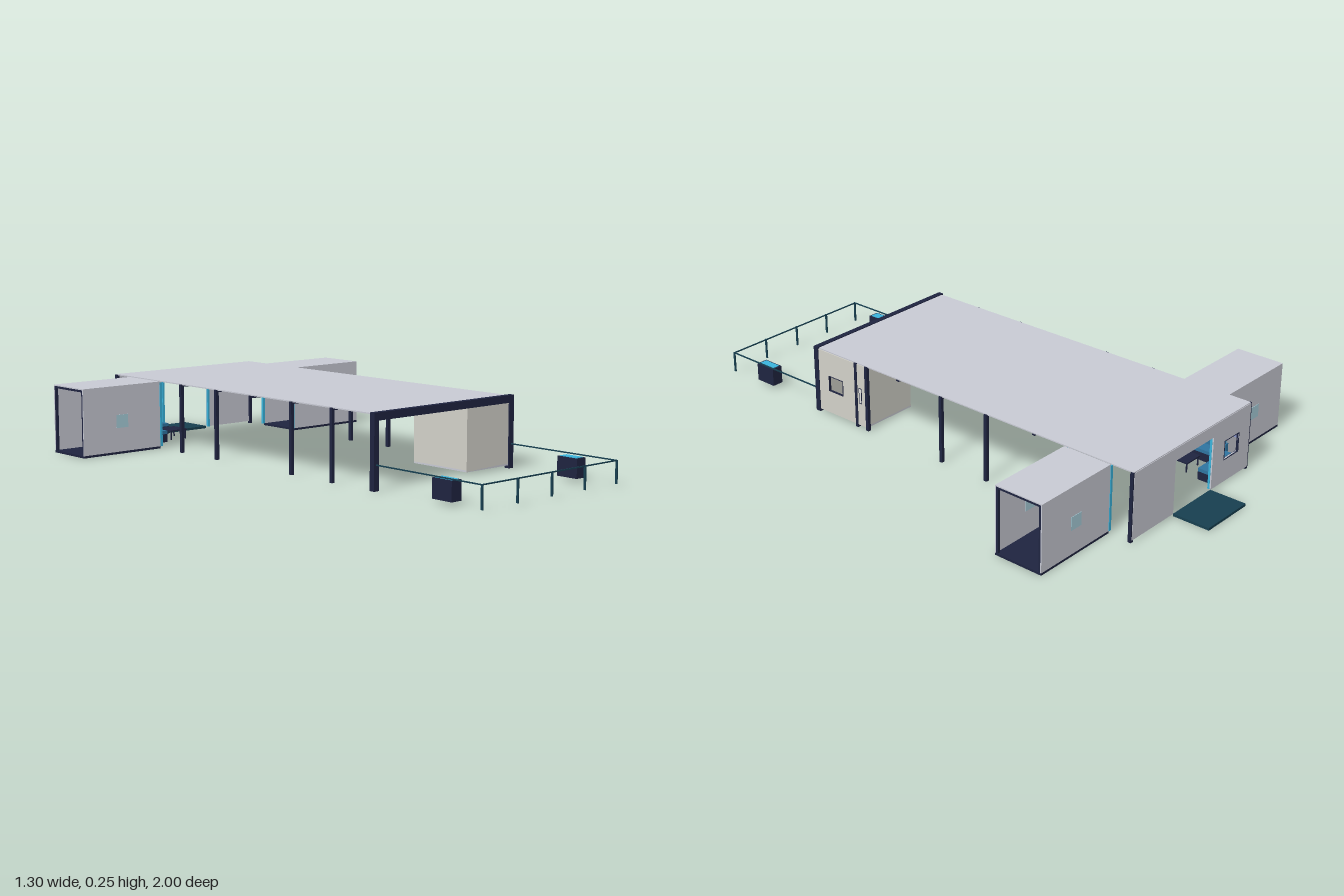
import * as THREE from 'three';

const mat = (color) => new THREE.MeshStandardMaterial({ color, side: THREE.DoubleSide });

export function createModel() {
  const root = new THREE.Group();
  const M = {
    wall: mat(0xc8cad4), navy: mat(0x1f2440), beige: mat(0xd2d1c9), cyan: mat(0x3ab4dc),
    glass: mat(0xa8cfdb), teal: mat(0x173f50), blue: mat(0x2f74a0), black: mat(0x1a1618),
    lilac: mat(0x8f9cd0), pale: mat(0xe4e4e0),
  };

  const add = (name, geo, m, parent = root) => {
    const mesh = new THREE.Mesh(geo, m);
    mesh.name = name;
    parent.add(mesh);
    return mesh;
  };
  // Box given by its minimum and maximum along each axis
  const box = (name, m, x0, x1, y0, y1, z0, z1, parent = root) => {
    const mesh = add(name, new THREE.BoxGeometry(Math.abs(x1 - x0), y1 - y0, z1 - z0), m, parent);
    mesh.position.set((x0 + x1) / 2, (y0 + y1) / 2, (z0 + z1) / 2);
    return mesh;
  };
  const rect = (Type, x0, x1, y0, y1) => new Type([[x0, y0], [x1, y0], [x1, y1], [x0, y1]]
    .map(([x, y]) => new THREE.Vector2(x, y)));
  // Rectangular panel with rectangular holes, in the XY plane
  const panel = (outer, holes, depth) => {
    const s = rect(THREE.Shape, ...outer);
    holes.forEach((h) => s.holes.push(rect(THREE.Path, ...h)));
    return new THREE.ExtrudeGeometry(s, { depth, bevelEnabled: false });
  };
  // Hollow frame around an opening
  const frame = (name, m, [x0, x1, y0, y1], t, depth, parent = root) =>
    add(name, panel([x0 - t, x1 + t, y0 - t, y1 + t], [[x0, x1, y0, y1]], depth), m, parent);

  // Main roof with beams and downlights beneath it
  box('roof', M.wall, -0.32, 0.32, 0.244, 0.248, -0.86, 0.54);
  for (const z of [0.34, 0.14, -0.06, -0.26, -0.46]) {
    box('roofBeam', M.navy, -0.32, 0.32, 0.238, 0.2445, z - 0.006, z + 0.006);
  }
  for (const z of [0.24, 0.04, -0.16, -0.36]) {
    const light = add('downlight', new THREE.CylinderGeometry(0.014, 0.014, 0.004, 20), M.navy);
    light.position.set(0, 0.242, z);
  }

  // Front portal
  for (const s of [-1, 1]) box('portalPost', M.navy, s * 0.305, s * 0.326, 0, 0.25, 0.525, 0.545);
  box('portalHeader', M.navy, -0.326, 0.326, 0.225, 0.251, 0.525, 0.545);

  // Slim side posts, staggered between the two sides
  const posts = { '-1': [0.34, 0.14, -0.26, -0.46, -0.855], 1: [0.34, 0.29, -0.06, -0.26, -0.855] };
  for (const s of [-1, 1]) {
    for (const z of posts[s]) {
      box('sidePost', M.navy, s * 0.313, s * 0.325, 0, 0.246, z - 0.006, z + 0.006);
    }
  }

  // Rear wall with doorway and window
  const back = new THREE.Shape([[-0.32, 0.008], [-0.108, 0.008], [-0.108, 0.2], [0.102, 0.2],
    [0.102, 0.008], [0.32, 0.008], [0.32, 0.245], [-0.32, 0.245]].map(([x, y]) => new THREE.Vector2(x, y)));
  const win = [-0.255, -0.175, 0.093, 0.16];
  back.holes.push(rect(THREE.Path, ...win));
  add('rearWall', new THREE.ExtrudeGeometry(back, { depth: 0.006, bevelEnabled: false }), M.wall)
    .position.z = -0.862;
  frame('rearWindowFrame', M.navy, win, 0.002, 0.009).position.z = -0.8635;
  box('doorHeadTrim', M.cyan, -0.116, 0.11, 0.199, 0.206, -0.857, -0.849);
  for (const [a, b] of [[-0.116, -0.107], [0.101, 0.11]]) {
    box('doorSideTrim', M.cyan, a, b, 0.008, 0.2, -0.857, -0.849);
  }
  box('doorShutterBox', M.black, -0.125, 0.125, 0.206, 0.227, -0.857, -0.835);
  box('rearPlatform', M.teal, -0.105, 0.102, 0, 0.009, -1, -0.862);

  // Side wings, open at the outer end
  for (const s of [-1, 1]) {
    const wing = new THREE.Group();
    wing.name = s < 0 ? 'rightWing' : 'leftWing';
    root.add(wing);
    const a = s * 0.322, b = s * 0.652;
    box('wingFloor', M.navy, a, b, 0, 0.008, -0.772, -0.588, wing);
    box('wingRoof', M.wall, a, b, 0.241, 0.245, -0.772, -0.588, wing);
    for (const [z, out] of [[-0.59, 1], [-0.77, -1]]) {
      box('wingWall', M.wall, a, b, 0.008, 0.242, z - 0.002, z + 0.002, wing);
      box('wingWindow', M.glass, s * 0.463, s * 0.513, 0.094, 0.141, z - 0.0035, z + 0.0035, wing);
      box('wingEndPost', M.navy, s * 0.642, s * 0.651, 0.008, 0.241,
        z - (out > 0 ? 0.01 : -0.002), z + (out > 0 ? -0.002 : 0.01), wing);
      box('junctionTrim', M.cyan, s * 0.312, s * 0.322, 0.008, 0.241, z - 0.004, z + 0.004, wing);
    }
    box('wingEndHeader', M.navy, s * 0.642, s * 0.651, 0.233, 0.241, -0.768, -0.592, wing);
  }

  // Beige corner room with a window and a slit in its outer side
  const room = new THREE.Group();
  room.name = 'cornerRoom';
  root.add(room);
  box('roomFloor', M.wall, 0.102, 0.318, 0.01, 0.016, 0.292, 0.54, room);
  box('roomFrontWall', M.beige, 0.102, 0.318, 0.01, 0.244, 0.534, 0.54, room);
  box('roomBackWall', M.beige, 0.102, 0.318, 0.01, 0.244, 0.292, 0.298, room);
  box('roomInnerWall', M.beige, 0.102, 0.108, 0.01, 0.244, 0.292, 0.54, room);
  const side = new THREE.Group();
  side.name = 'roomOuterSide';
  side.rotation.y = -Math.PI / 2;
  side.position.x = 0.323;
  room.add(side);
  const opening = [0.407, 0.474, 0.098, 0.153], slit = [0.315, 0.324, 0.098, 0.153];
  add('roomOuterWall', panel([0.292, 0.54, 0.01, 0.244], [opening], 0.005), M.beige, side);
  frame('roomWindowFrame', M.navy, opening, 0.002, 0.009, side).position.z = -0.002;
  frame('slitFrame', M.navy, slit, 0.002, 0.004, side).position.z = -0.002;
  box('slitPane', M.pale, 0.324, 0.3245, 0.098, 0.153, 0.315, 0.324, room);

  // Terrace railing
  const r = 0.002;
  box('frontRail', M.teal, -0.317, 0.317, 0.082, 0.086, 0.993, 0.997);
  for (const s of [-1, 1]) {
    box('sideRail', M.teal, s * 0.315 - r, s * 0.315 + r, 0.082, 0.086, 0.54, 0.997);
  }
  for (let i = -2; i <= 2; i++) {
    const x = i * 0.1575;
    box('railPost', M.teal, x - r, x + r, 0.008, 0.086, 0.992, 1);
  }

  // Terrace planters
  for (const s of [-1, 1]) {
    box('planterBody', M.navy, s * 0.27, s * 0.313, 0.012, 0.078, 0.787, 0.87);
    box('planterTop', M.cyan, s * 0.276, s * 0.307, 0.077, 0.08, 0.794, 0.863);
  }

  // Corner sofa: base, cushions and backrests, with a low table and lamp
  const sofa = new THREE.Group();
  sofa.name = 'cornerSofa';
  root.add(sofa);
  box('rearBase', M.navy, -0.31, -0.135, 0.01, 0.04, -0.85, -0.79, sofa);
  box('sideBase', M.navy, -0.31, -0.25, 0.01, 0.04, -0.79, -0.64, sofa);
  box('rearCushion', M.blue, -0.295, -0.135, 0.04, 0.052, -0.838, -0.79, sofa);
  box('sideCushion', M.blue, -0.295, -0.25, 0.04, 0.052, -0.79, -0.64, sofa);
  box('rearBackrest', M.blue, -0.31, -0.135, 0.04, 0.075, -0.852, -0.838, sofa);
  box('sideBackrest', M.blue, -0.31, -0.295, 0.04, 0.075, -0.79, -0.64, sofa);
  box('tableTop', M.navy, -0.22, -0.145, 0.042, 0.047, -0.74, -0.66);
  for (const x of [-0.217, -0.152]) {
    for (const z of [-0.737, -0.667]) box('tableLeg', M.navy, x, x + 0.004, 0.01, 0.042, z, z + 0.004);
  }
  box('lampStem', M.navy, -0.301, -0.298, 0.04, 0.122, -0.831, -0.828);
  box('lampShade', M.lilac, -0.309, -0.29, 0.118, 0.138, -0.84, -0.819);

  return root;
}
